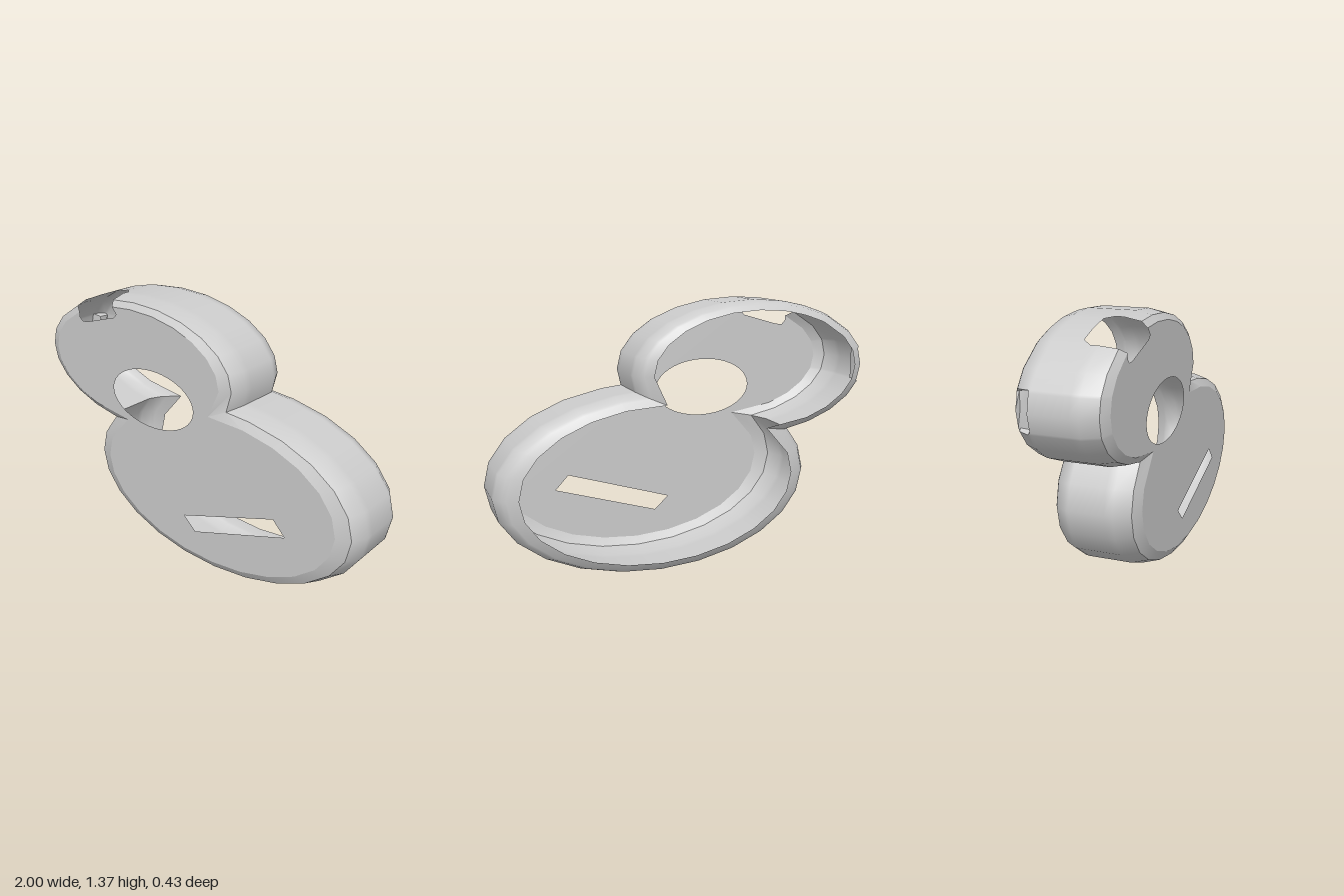
import * as THREE from 'three';
import { toCreasedNormals } from 'three/addons/utils/BufferGeometryUtils.js';

// Two overlapping elliptical lobes form the outline
const UPPER = { x: -0.35, y: 1.02, rx: 0.65, ry: 0.35 };
const LOWER = { x: 0.17, y: 0.47, rx: 0.83, ry: 0.47 };

// Wall layers from front to back: [z, scale of each lobe, side slot depth on/off]
const LAYERS = [
  [0.215, 0.865], [0.19, 0.952], [0.11, 1], [0.07, 1], [0.03, 1], [-0.11, 1], [-0.12, 1],
  [-0.135, 0.995, true], [-0.185, 0.958, true], [-0.195, 0.935], [-0.215, 0.865],
];

// Columns (degrees) around each lobe; the extra ones border the notch and the slot
const NOTCH = [103.3, 131.4];
const UPPER_COLS = [0, 15, 30, 45, 60, 75, 90, 103.3, 107, 117, 127.7, 131.4, 150,
  164, 166, 180, 194, 196, 210, 225, 240];
const LOWER_COLS = Array.from({ length: 19 }, (_, i) => 165 + i * 15);

function onLobe(lobe, deg, s) {
  const a = THREE.MathUtils.degToRad(deg);
  return new THREE.Vector2(lobe.x + lobe.rx * s * Math.cos(a), lobe.y + lobe.ry * s * Math.sin(a));
}

// Point where the upper lobe dives into the lower one, between two angles
function waistCorner(inside, outside, s) {
  for (let i = 0; i < 30; i++) {
    const mid = (inside + outside) / 2;
    const p = onLobe(UPPER, mid, s);
    const d = Math.hypot((p.x - LOWER.x) / LOWER.rx, (p.y - LOWER.y) / LOWER.ry);
    if (d < s) inside = mid; else outside = mid;
  }
  return onLobe(UPPER, outside, s);
}

// Counter-clockwise outline of the merged lobes at one scale
function outline(s, slotted = false) {
  const upper = UPPER_COLS.map((deg) => {
    const p = onLobe(UPPER, deg, s);
    if (slotted && deg > 165 && deg < 195) p.x = -0.935;
    return p;
  });
  return [
    waistCorner(-60, 0, s),
    ...upper,
    waistCorner(270, 240, s),
    ...LOWER_COLS.map((deg) => onLobe(LOWER, deg, s)),
  ];
}

// Wall with chamfered rims, open notch at the top front and a shallow side slot
function wallGeometry() {
  const rings = LAYERS.map(([z, s, slot]) =>
    outline(s, slot).map((p) => [p.x, p.y, z]));
  const n = rings[0].length;
  const first = 1 + UPPER_COLS.indexOf(NOTCH[0]);
  const last = UPPER_COLS.indexOf(NOTCH[1]);
  const pos = [];
  const tri = (...pts) => pts.forEach((p) => pos.push(...p));
  for (let k = 0; k < rings.length - 1; k++) {
    for (let i = 0; i < n; i++) {
      const j = (i + 1) % n;
      const a = rings[k][i], b = rings[k + 1][i];
      const c = rings[k + 1][j], d = rings[k][j];
      if (k < 4 && i >= first && i <= last) {
        // rounded corners of the notch
        if (k === 3 && i === first) tri(a, b, c);
        if (k === 3 && i === last) tri(b, c, d);
        continue;
      }
      tri(a, b, c);
      tri(a, c, d);
    }
  }
  const g = new THREE.BufferGeometry();
  g.setAttribute('position', new THREE.Float32BufferAttribute(pos, 3));
  return toCreasedNormals(g, 0.65);
}

// Front plate with the notch in its edge, an oval window and a slanted slot
function plateGeometry() {
  const ring = outline(LAYERS[0][1]);
  const first = 1 + UPPER_COLS.indexOf(NOTCH[0]);
  const last = 1 + UPPER_COLS.indexOf(NOTCH[1]);
  const notch = [[-0.45, 1.28], [-0.47, 1.26], [-0.66, 1.205], [-0.7, 1.2], [-0.72, 1.22]]
    .map(([x, y]) => new THREE.Vector2(x, y));
  const shape = new THREE.Shape([...ring.slice(0, first + 1), ...notch, ...ring.slice(last)]);

  const oval = new THREE.Path();
  oval.absellipse(-0.22, 0.875, 0.272, 0.154, 0, Math.PI * 2, true);
  const slot = new THREE.Path(
    [[-0.015, 0.275], [0.545, 0.45], [0.615, 0.375], [0.06, 0.205]]
      .map(([x, y]) => new THREE.Vector2(x, y)));
  shape.holes.push(oval, slot);
  return new THREE.ShapeGeometry(shape, 24).translate(0, 0, LAYERS[0][0]);
}

export function createModel() {
  const group = new THREE.Group();
  group.name = 'twoLobedShell';
  const material = new THREE.MeshStandardMaterial({ color: 0xcccccc, side: THREE.DoubleSide });
  const add = (name, geometry) => {
    const mesh = new THREE.Mesh(geometry, material);
    mesh.name = name;
    group.add(mesh);
  };
  add('sideWall', wallGeometry());
  add('frontPlate', plateGeometry());
  return group;
}
